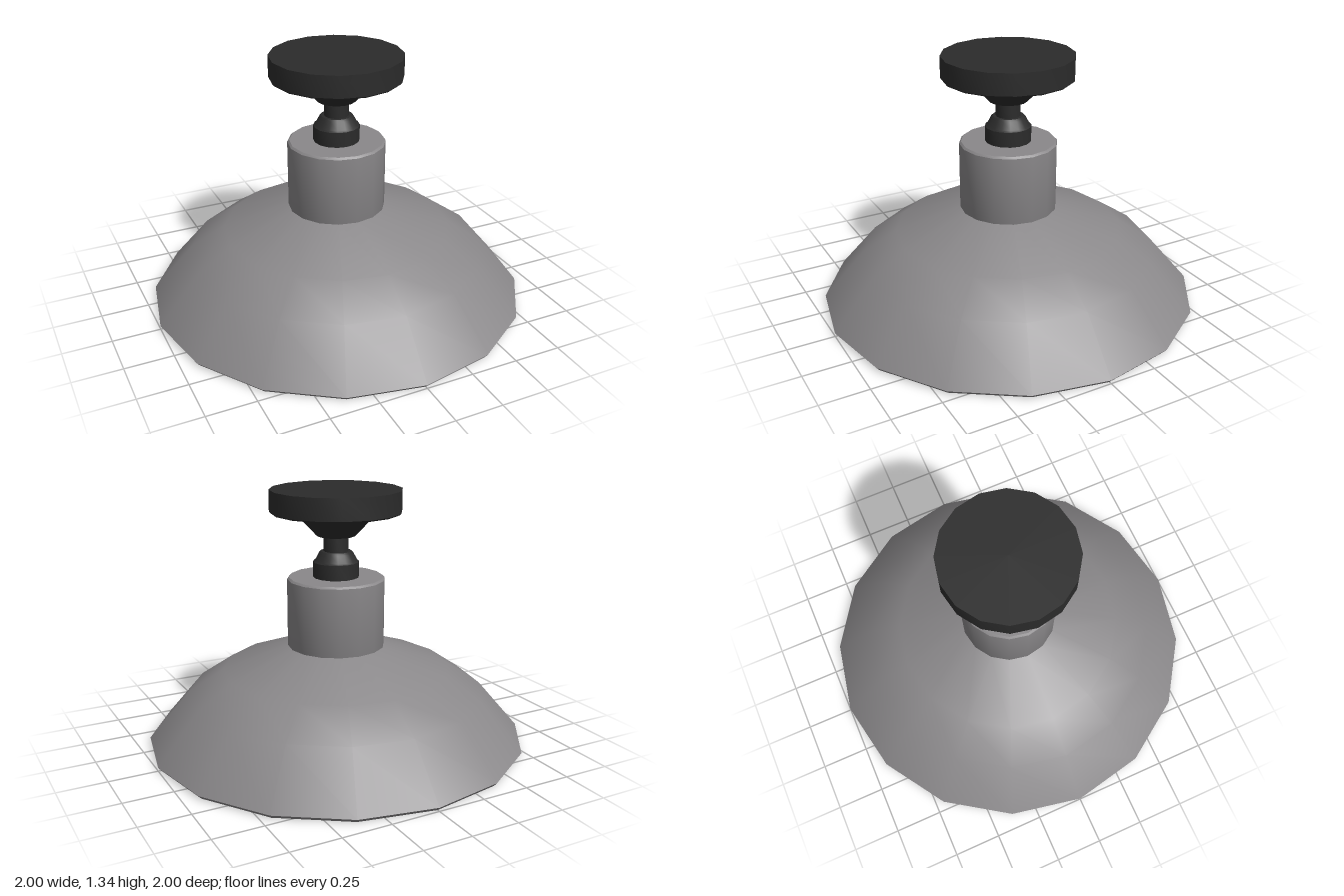
import * as THREE from 'three';
import { toCreasedNormals } from 'three/addons/utils/BufferGeometryUtils.js';

const SIDES = 16;

const material = (name, color) => {
  const m = new THREE.MeshStandardMaterial({ color });
  m.name = name;
  return m;
};

// Turned part: profile points are [radius, height], listed so the outside faces out.
function turned(name, points, mat, crease = 0.6) {
  const profile = points.map(([r, y]) => new THREE.Vector2(r, y));
  const geometry = toCreasedNormals(new THREE.LatheGeometry(profile, SIDES), crease);
  const mesh = new THREE.Mesh(geometry, mat);
  mesh.name = name;
  return mesh;
}

export function createModel() {
  const grey = material('grey metal', 0x8a888a);
  const black = material('black metal', 0x2b2b2b);
  const glow = material('cream bulb', 0xcfc898);

  const lamp = new THREE.Group();
  lamp.name = 'ceilingLamp';

  // Thin domed shade: inner skin down to the rim, then outer skin up
  lamp.add(turned('shade', [
    [0.20, 0.50], [0.59, 0.37], [0.77, 0.25], [0.965, 0.02],
    [0.985, 0], [1, 0.018], [0.785, 0.27], [0.6, 0.395], [0.25, 0.52],
  ], grey));

  // Neck cylinder, passing through the shade with a chamfered lower end
  lamp.add(turned('neck', [
    [0, 0.37], [0.17, 0.37], [0.235, 0.42], [0.255, 0.46],
    [0.255, 0.875], [0.245, 0.885], [0, 0.885],
  ], grey));

  // Bulb holder ring and bulb
  lamp.add(turned('bulbHolder', [
    [0, 0.345], [0.11, 0.345], [0.135, 0.36], [0.135, 0.39], [0, 0.39],
  ], black));
  lamp.add(turned('bulb', [
    [0, 0.015], [0.055, 0.015], [0.07, 0.035], [0.07, 0.36], [0, 0.36],
  ], glow));

  // Stepped cap above the neck
  lamp.add(turned('cap', [
    [0, 0.88], [0.12, 0.88], [0.12, 0.965], [0.11, 0.972],
    [0.09, 1.01], [0.08, 1.02], [0, 1.02],
  ], black));

  // Short stem
  lamp.add(turned('stem', [
    [0.064, 1.01], [0.064, 1.11],
  ], black));

  // Flared ceiling mount
  lamp.add(turned('ceilingMount', [
    [0, 1.1], [0.1, 1.1], [0.215, 1.22], [0.335, 1.22],
    [0.342, 1.227], [0.342, 1.34], [0, 1.34],
  ], black));

  return lamp;
}
